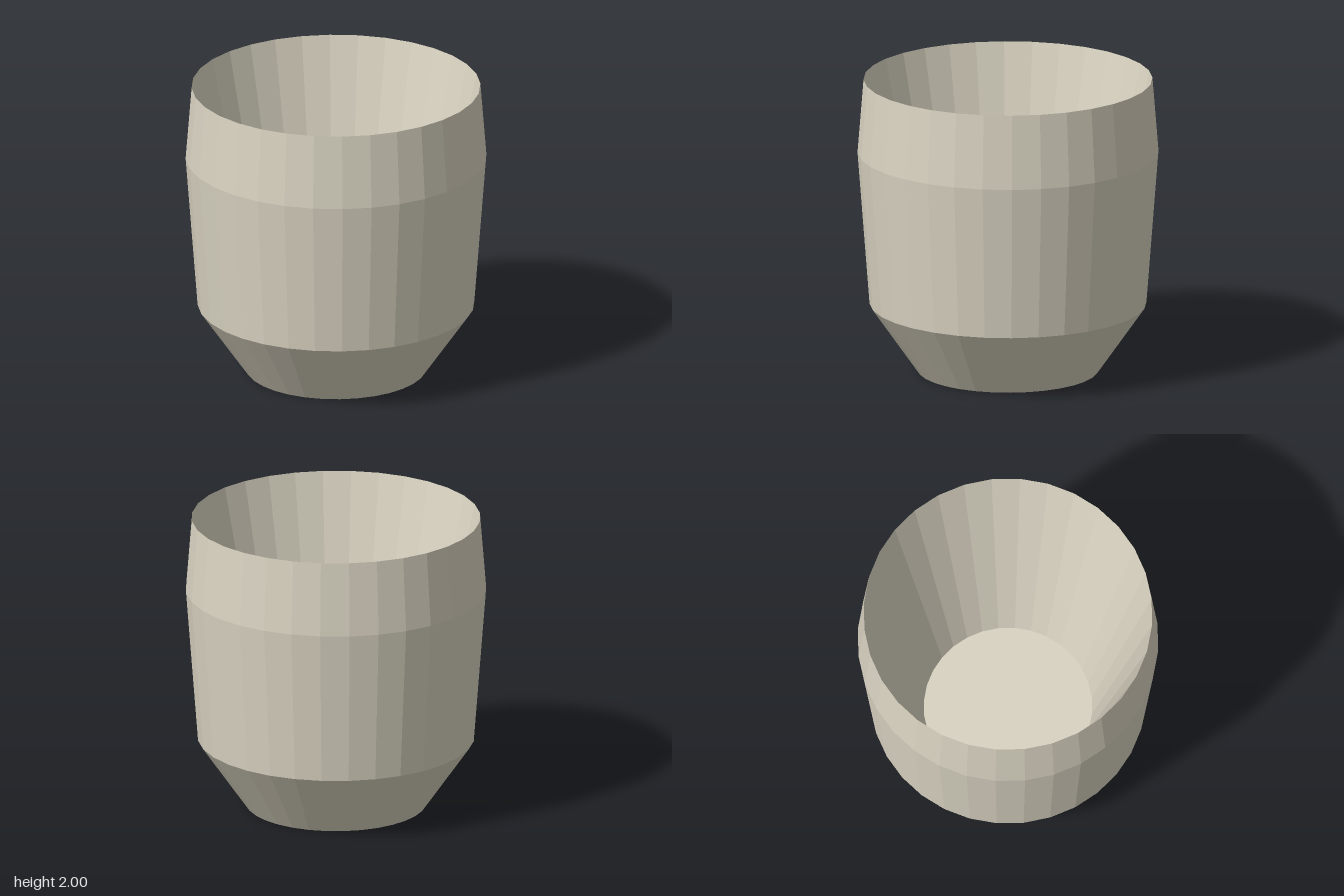
import * as THREE from 'three';

const SIDES = 32;
const FLOOR_HEIGHT = 0.2;

export function createModel() {
  const group = new THREE.Group();
  group.name = 'cup';

  const clay = new THREE.MeshStandardMaterial({ color: 0xd9d3c1, flatShading: true });
  clay.name = 'pale clay';

  // Revolve a [radius, height] profile into a faceted part
  const addTurned = (name, profile) => {
    const points = profile.map(([r, y]) => new THREE.Vector2(r, y));
    const mesh = new THREE.Mesh(new THREE.LatheGeometry(points, SIDES), clay);
    mesh.name = name;
    group.add(mesh);
  };

  // Flat disc facing up or down
  const addDisc = (name, radius, y, facing) => {
    const geometry = new THREE.CircleGeometry(radius, SIDES);
    geometry.rotateX(-facing * Math.PI / 2);
    const mesh = new THREE.Mesh(geometry, clay);
    mesh.position.y = y;
    mesh.name = name;
    group.add(mesh);
  };

  // Outside: flared foot, widening body, tapered rim
  addTurned('outerWall', [[0.6, 0], [0.92, 0.46], [1, 1.5], [0.96, 2]]);
  addDisc('base', 0.6, 0, -1);

  // Inside: straight cone from the sharp rim down to the floor
  addTurned('innerWall', [[0.96, 2], [0.56, FLOOR_HEIGHT]]);
  addDisc('floor', 0.56, FLOOR_HEIGHT, 1);

  return group;
}
